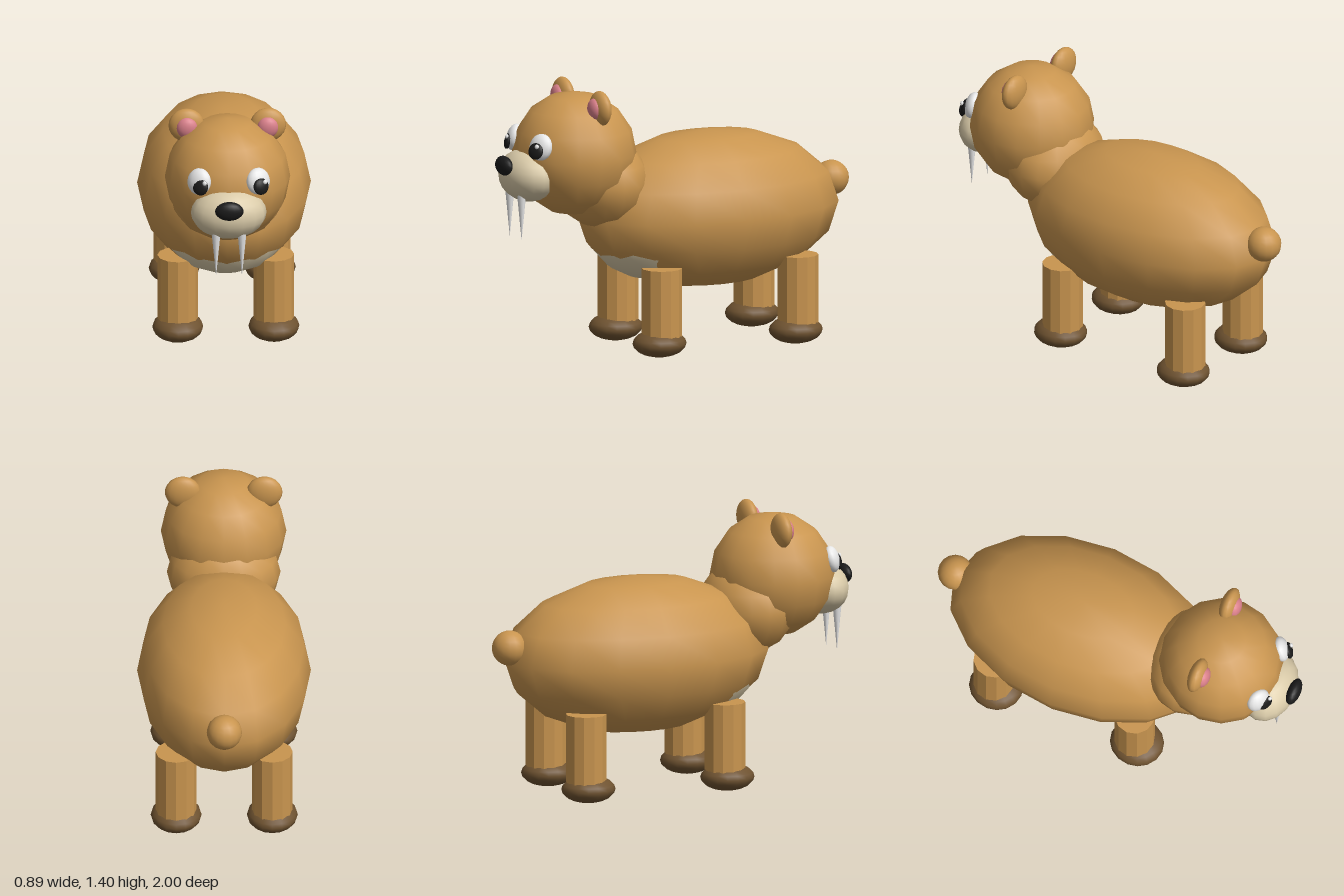
import * as THREE from 'three';

const mat = (name, color, flatShading = false) => {
  const m = new THREE.MeshStandardMaterial({ color, flatShading });
  m.name = name;
  return m;
};

export function createModel() {
  const model = new THREE.Group();
  model.name = 'tuskedBear';

  const fur = mat('fur', 0xc9954f);
  const legFur = fur.clone();
  legFur.flatShading = true;
  const paw = mat('paw brown', 0x6e5230);
  const cream = mat('cream', 0xd9caa8);
  const pink = mat('ear pink', 0xd97f8a);
  const black = mat('black', 0x1a1a1a);
  const white = mat('white', 0xececec);

  const add = (name, geometry, material, pos) => {
    const mesh = new THREE.Mesh(geometry, material);
    mesh.name = name;
    mesh.position.set(...pos);
    model.add(mesh);
    return mesh;
  };

  // Ellipsoid, optionally turned so its z axis follows a direction
  const ball = (name, material, pos, radii, facing, w = 16, h = 8) => {
    const geometry = new THREE.SphereGeometry(1, w, h);
    const mesh = add(name, geometry, material, pos);
    mesh.scale.set(...radii);
    if (facing) mesh.lookAt(pos[0] + facing[0], pos[1] + facing[1], pos[2] + facing[2]);
    return mesh;
  };

  // Trunk, neck and head
  ball('body', fur, [0, 0.705, -0.2], [0.443, 0.405, 0.72]);
  ball('bellyPatch', cream, [0, 0.6, 0.12], [0.32, 0.235, 0.32]);
  ball('neck', fur, [0, 0.9, 0.42], [0.29, 0.24, 0.24]);
  ball('head', fur, [0, 1.055, 0.565], [0.32, 0.32, 0.32]);
  ball('tail', fur, [0, 0.79, -0.91], [0.09, 0.09, 0.09], null, 16, 12);

  // Muzzle and nose
  ball('muzzle', cream, [0, 0.965, 0.83], [0.193, 0.135, 0.14], null, 16, 12);
  ball('nose', black, [0, 1.025, 0.965], [0.073, 0.05, 0.035], null, 16, 12);

  for (const side of [-1, 1]) {
    const label = side > 0 ? 'left' : 'right';

    // Ears
    ball(label + 'Ear', fur, [side * 0.208, 1.318, 0.52], [0.092, 0.09, 0.045], null, 16, 12);
    ball(label + 'InnerEar', pink, [side * 0.206, 1.316, 0.55], [0.055, 0.057, 0.035], null, 16, 12);

    // Eyes, both glancing slightly to the model's left
    const out = [side * 0.47, 0.25, 0.85];
    const look = side > 0 ? 0.164 : -0.145;
    ball(label + 'Eye', white, [side * 0.15, 1.135, 0.83], [0.065, 0.069, 0.04], out, 16, 12);
    ball(label + 'Pupil', black, [look, 1.12, 0.867], [0.043, 0.043, 0.02], out, 16, 12);
    ball(label + 'EyeGlint', white, [look + 0.021, 1.147, side > 0 ? 0.872 : 0.885],
      [0.012, 0.012, 0.009], out, 10, 8);

    // Tusks
    const tusk = add(label + 'Tusk', new THREE.ConeGeometry(0.025, 0.26, 12), white,
      [side * 0.066, 0.77, 0.898]);
    tusk.rotation.x = Math.PI;

    // Legs and paws
    for (const [end, legZ, pawZ] of [['Front', 0.187, 0.2], ['Back', -0.593, -0.58]]) {
      add(label + end + 'Leg', new THREE.CylinderGeometry(0.104, 0.104, 0.385, 12), legFur,
        [side * 0.245, 0.2725, legZ]);
      ball(label + end + 'Paw', paw, [side * 0.245, 0.075, pawZ], [0.13, 0.07, 0.14], null, 16, 10);
    }
  }
  return model;
}
